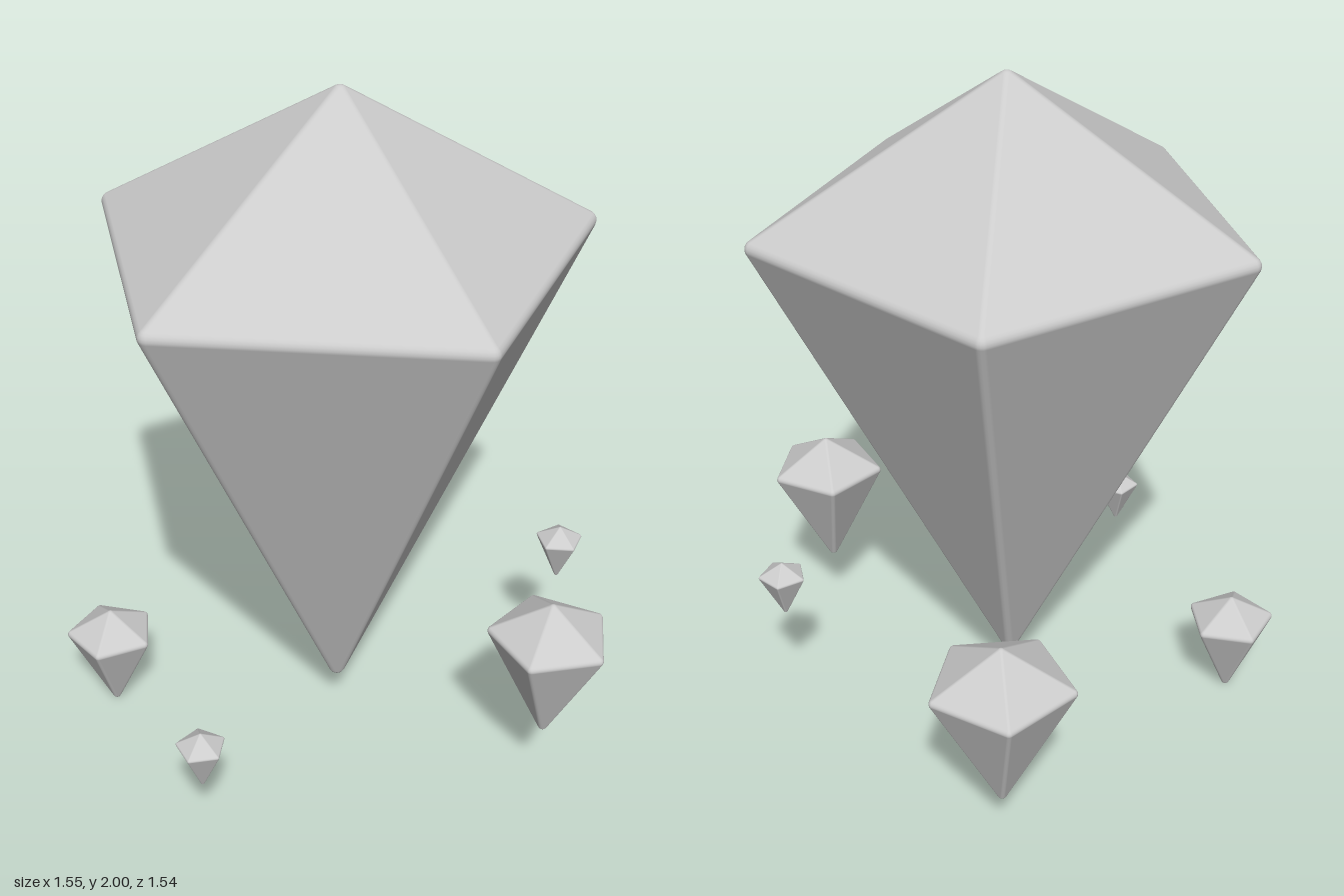
import * as THREE from 'three';

const SIDES = 5;
const CORNER = [-1, -0.5, 0, 0.5, 1]; // steps of the rounding around each upright edge

// Five-sided double pyramid with softly rounded edges.
// bottom / girdle / top are heights, radius is the girdle corner radius, r the edge rounding.
function crystalGeometry({ bottom, girdle, top, radius, r, turn }) {
  const y0 = bottom + r, y2 = top - r, R = radius - r;
  const apothem = R * Math.cos(Math.PI / SIDES);
  const low = -Math.atan2(apothem, girdle - y0); // tilt of the lower facets
  const high = Math.atan2(apothem, y2 - girdle); // tilt of the upper facets
  const mix = THREE.MathUtils.lerp;

  // Rings from the lower tip to the upper tip: [core height, core radius, normal elevation]
  const rings = [];
  for (let k = 0; k <= 3; k++) rings.push([y0, 0, mix(-Math.PI / 2, low, k / 3)]);
  for (let k = 0; k <= 4; k++) rings.push([girdle, R, mix(low, high, k / 4)]);
  for (let k = 0; k <= 3; k++) rings.push([y2, 0, mix(high, Math.PI / 2, k / 3)]);

  const positions = [], normals = [], index = [];
  for (const [y, rad, el] of rings) {
    for (let s = 0; s < SIDES; s++) {
      const a = THREE.MathUtils.degToRad(turn) + (s * 2 * Math.PI) / SIDES;
      for (const c of CORNER) {
        const az = a + (c * Math.PI) / SIDES;
        const n = [Math.cos(el) * Math.cos(az), Math.sin(el), Math.cos(el) * Math.sin(az)];
        positions.push(rad * Math.cos(a) + r * n[0], y + r * n[1], rad * Math.sin(a) + r * n[2]);
        normals.push(...n);
      }
    }
  }
  const cols = SIDES * CORNER.length;
  for (let j = 0; j < rings.length - 1; j++) {
    for (let i = 0; i < cols; i++) {
      const a = j * cols + i, b = j * cols + ((i + 1) % cols);
      index.push(a, a + cols, b, b, a + cols, b + cols);
    }
  }
  const g = new THREE.BufferGeometry();
  g.setAttribute('position', new THREE.Float32BufferAttribute(positions, 3));
  g.setAttribute('normal', new THREE.Float32BufferAttribute(normals, 3));
  g.setIndex(index);
  return g;
}

export function createModel() {
  const group = new THREE.Group();
  group.name = 'floatingCrystals';
  const material = new THREE.MeshStandardMaterial({ color: 0xcccccc });

  const crystals = [
    { name: 'mainCrystal', x: 0.015, z: 0.1, bottom: 0.13, girdle: 1.57, top: 2, radius: 0.705, r: 0.026, turn: 0 },
    { name: 'backShard', x: 0.19, z: -0.565, bottom: 0.145, girdle: 0.55, top: 0.67, radius: 0.207, r: 0.014, turn: -11 },
    { name: 'frontLeftShard', x: 0.5, z: 0.585, bottom: 0.235, girdle: 0.57, top: 0.675, radius: 0.172, r: 0.014, turn: -16 },
    { name: 'rightShard', x: -0.645, z: -0.08, bottom: 0, girdle: 0.255, top: 0.335, radius: 0.132, r: 0.013, turn: -29 },
    { name: 'tinyFrontRightShard', x: -0.47, z: 0.585, bottom: 0.225, girdle: 0.36, top: 0.405, radius: 0.069, r: 0.006, turn: -16 },
    { name: 'tinyLeftShard', x: 0.7, z: 0.1, bottom: 0.385, girdle: 0.52, top: 0.563, radius: 0.07, r: 0.006, turn: 0 },
  ];
  for (const c of crystals) {
    const mesh = new THREE.Mesh(crystalGeometry(c), material);
    mesh.name = c.name;
    mesh.position.set(c.x, 0, c.z);
    group.add(mesh);
  }
  return group;
}
